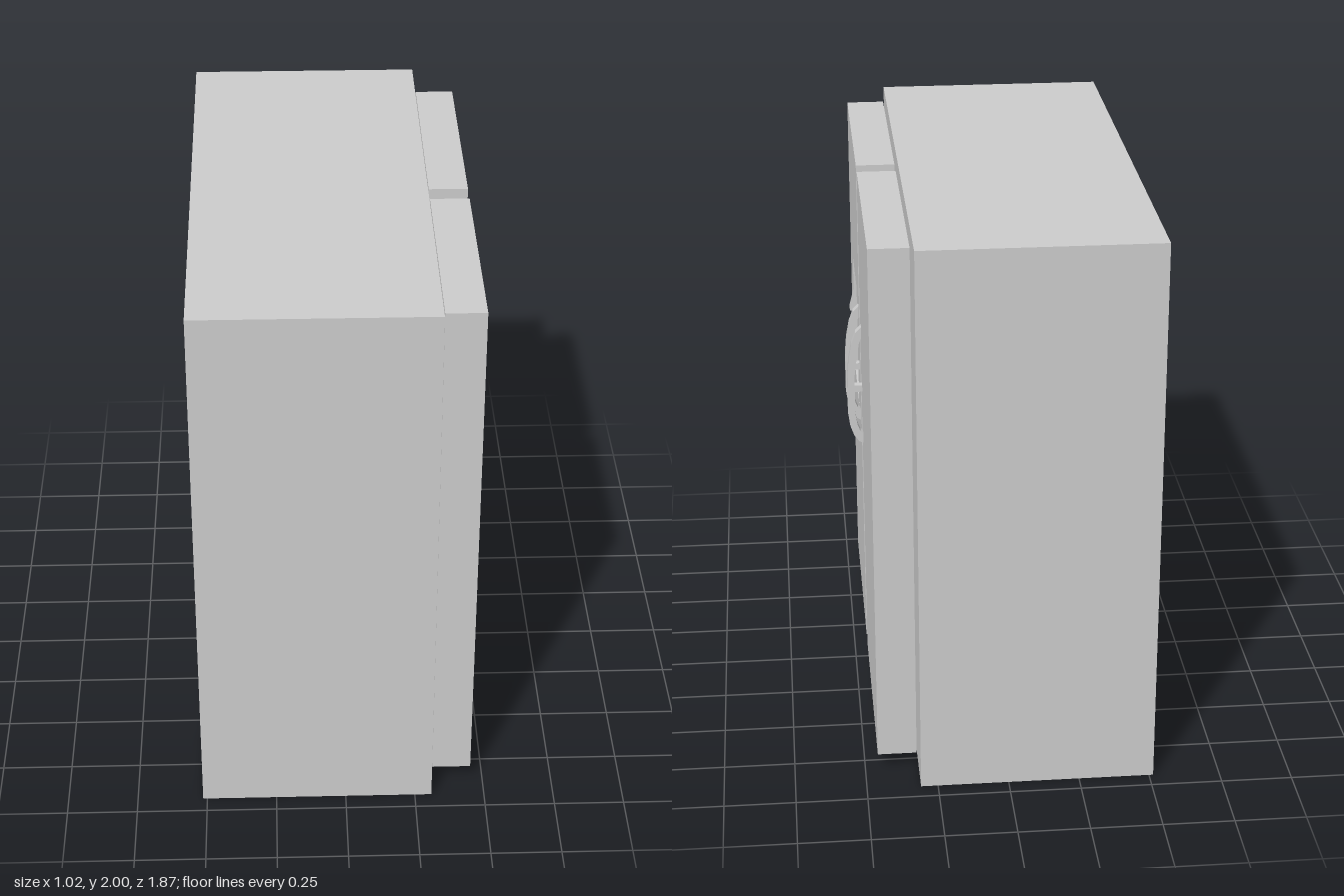
import * as THREE from 'three';

const material = new THREE.MeshStandardMaterial({ color: 0xcccccc, flatShading: true });

function addMesh(parent, name, geometry) {
  const mesh = new THREE.Mesh(geometry, material);
  mesh.name = name;
  parent.add(mesh);
  return mesh;
}

// Box given by its lower and upper corners
function addBox(parent, name, [x0, y0, z0], [x1, y1, z1]) {
  const mesh = addMesh(parent, name, new THREE.BoxGeometry(x1 - x0, y1 - y0, z1 - z0));
  mesh.position.set((x0 + x1) / 2, (y0 + y1) / 2, (z0 + z1) / 2);
  return mesh;
}

// Side profile in x, y given thickness from z0 to z1
function addProfile(parent, name, points, z0, z1) {
  const shape = new THREE.Shape(points.map(([x, y]) => new THREE.Vector2(x, y)));
  const geometry = new THREE.ExtrudeGeometry(shape, { depth: z1 - z0, bevelEnabled: false });
  addMesh(parent, name, geometry).position.z = z0;
}

const rectangle = (Type, x0, y0, x1, y1) => new Type([
  new THREE.Vector2(x0, y0), new THREE.Vector2(x1, y0),
  new THREE.Vector2(x1, y1), new THREE.Vector2(x0, y1),
]);

// Bowed handle with a small peg behind it
function addHandle(parent, name, z) {
  const handle = new THREE.Group();
  handle.name = name;
  addProfile(handle, 'grip', [
    [0.45, 0.947], [0.47, 0.957], [0.488, 0.98], [0.502, 1.02], [0.509, 1.07],
    [0.509, 1.21], [0.503, 1.28], [0.492, 1.34], [0.476, 1.385], [0.45, 1.413],
    [0.45, 1.375], [0.464, 1.345], [0.474, 1.28], [0.483, 1.21],
    [0.483, 1.07], [0.476, 1.025], [0.465, 0.997], [0.45, 0.985],
  ], z - 0.016, z + 0.016);
  addBox(handle, 'peg', [0.45, 1.15, z - 0.005], [0.486, 1.175, z + 0.023]);
  parent.add(handle);
}

export function createModel() {
  const fridge = new THREE.Group();
  fridge.name = 'refrigerator';
  const back = 0.317, inner = 0.35, face = 0.455, low = 0.06, high = 1.965;

  addBox(fridge, 'cabinet', [-0.515, 0, -0.937], [0.31, 2, 0.937]);
  addBox(fridge, 'wideDoor', [back, low, -0.81], [face, high, -0.007]);

  // Narrow door: a back panel and a front slab pierced by the dispenser recess
  const narrowDoor = new THREE.Group();
  narrowDoor.name = 'narrowDoor';
  fridge.add(narrowDoor);
  addBox(narrowDoor, 'doorBack', [back, low, 0.066], [inner, high, 0.857]);
  const slab = rectangle(THREE.Shape, -0.857, low, -0.066, high);
  slab.holes.push(rectangle(THREE.Path, -0.64, 0.942, -0.29, 1.418));
  const front = addMesh(narrowDoor, 'doorFront',
    new THREE.ExtrudeGeometry(slab, { depth: face - inner, bevelEnabled: false }));
  front.rotation.y = Math.PI / 2;
  front.position.x = inner;

  // Tilted dispenser paddles hanging from the top of the recess
  for (const z of [0.38, 0.547]) {
    addProfile(narrowDoor, 'dispenserPaddle',
      [[0.41, 1.215], [0.475, 1.235], [0.425, 1.425], [0.357, 1.425]], z - 0.029, z + 0.029);
  }

  addHandle(narrowDoor, 'narrowDoorHandle', 0.135);
  addHandle(fridge, 'wideDoorHandle', -0.075);
  return fridge;
}
